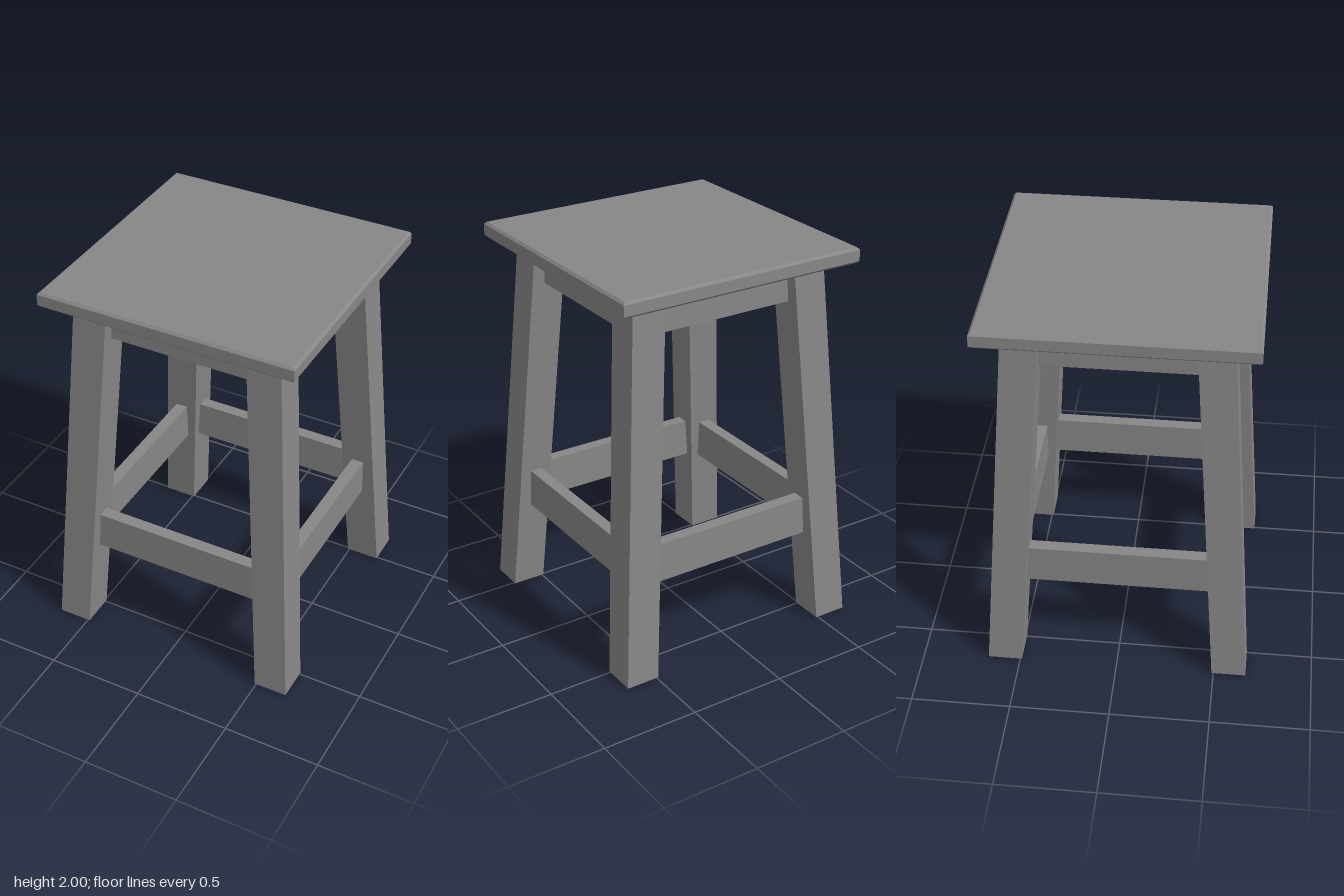
import * as THREE from 'three';

const material = new THREE.MeshStandardMaterial({ color: 0x878787, flatShading: true });
const SEAT_BOTTOM = 1.92;
const SPLAY = 0.0675; // inward lean of a leg per unit of height
const LEG_WIDTH = 0.174;
const legCentre = (y) => 0.578 - SPLAY * y;

function addMesh(parent, name, geometry) {
  const mesh = new THREE.Mesh(geometry, material);
  mesh.name = name;
  parent.add(mesh);
  return mesh;
}

// Square slab with chamfered upper and lower edges
function seatGeometry() {
  const half = 0.656, bevel = 0.012, r = Math.SQRT2;
  const profile = [
    [0, SEAT_BOTTOM], [half - bevel, SEAT_BOTTOM], [half, SEAT_BOTTOM + bevel],
    [half, 2 - bevel], [half - bevel, 2], [0, 2],
  ].map(([x, y]) => new THREE.Vector2(x * r, y));
  return new THREE.LatheGeometry(profile, 4).rotateY(Math.PI / 4);
}

// Square post leaning inwards on both axes, with level ends
function legGeometry(sx, sz) {
  const geometry = new THREE.BoxGeometry(LEG_WIDTH, SEAT_BOTTOM, LEG_WIDTH);
  geometry.translate(0, SEAT_BOTTOM / 2, 0);
  const p = geometry.attributes.position;
  for (let i = 0; i < p.count; i++) {
    const c = legCentre(p.getY(i));
    p.setXYZ(i, p.getX(i) + sx * c, p.getY(i), p.getZ(i) + sz * c);
  }
  geometry.computeVertexNormals();
  return geometry;
}

// Upright rail between two legs, centred on them at its top edge
function railGeometry(bottom, top) {
  const c = legCentre(top);
  return new THREE.BoxGeometry(2 * c, top - bottom, 0.063)
    .translate(0, (bottom + top) / 2, c);
}

export function createModel() {
  const model = new THREE.Group();
  model.name = 'stool';

  addMesh(model, 'seat', seatGeometry());

  for (const [sx, xName] of [[1, 'Left'], [-1, 'Right']])
    for (const [sz, zName] of [[1, 'front'], [-1, 'back']])
      addMesh(model, `${zName}${xName}Leg`, legGeometry(sx, sz));

  // Aprons under the seat and stretchers near the floor, on all four sides
  ['front', 'left', 'back', 'right'].forEach((side, i) => {
    const angle = i * Math.PI / 2;
    addMesh(model, `${side}Apron`, railGeometry(1.73, SEAT_BOTTOM)).rotation.y = angle;
    addMesh(model, `${side}Stretcher`, railGeometry(0.472, 0.677)).rotation.y = angle;
  });

  return model;
}
